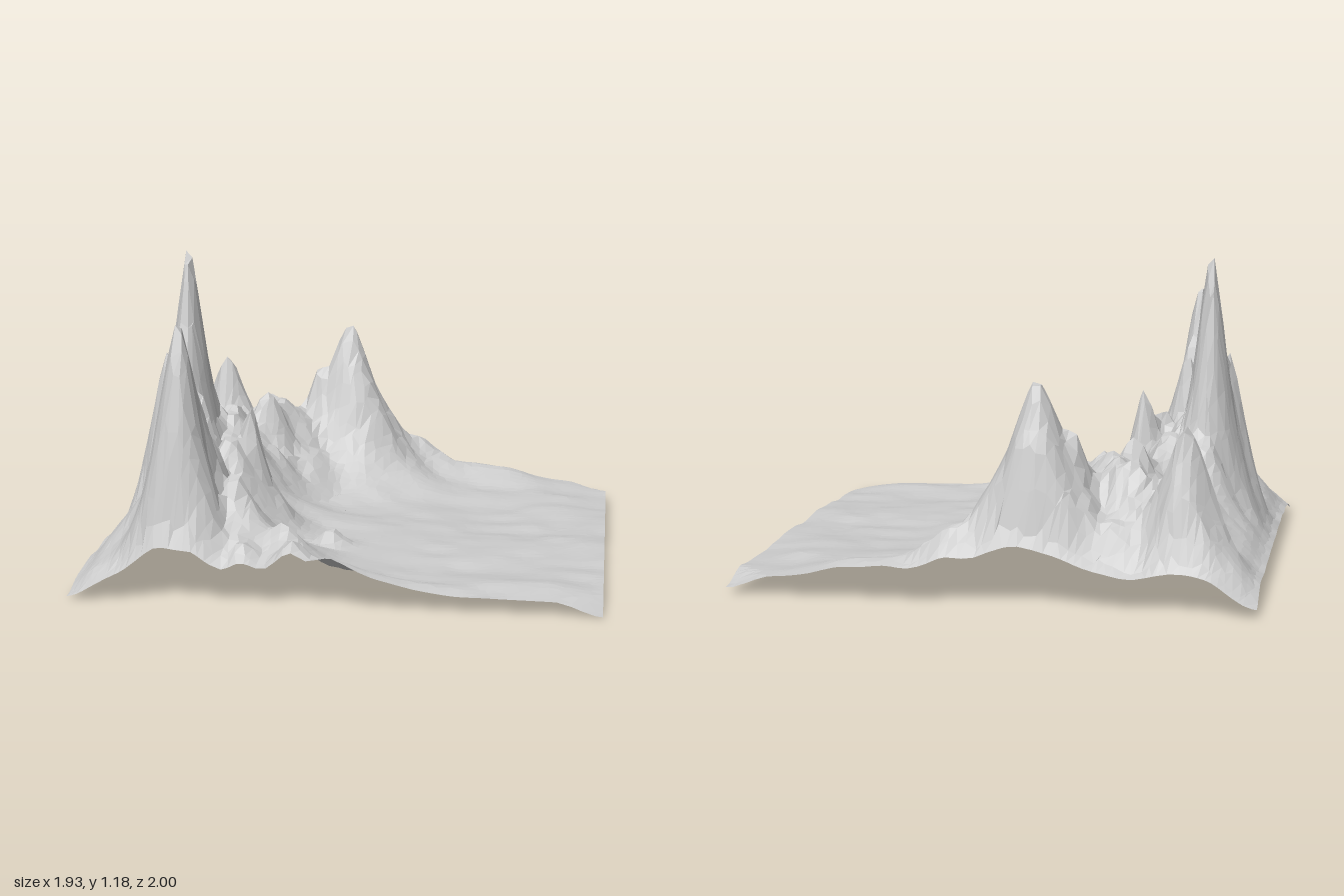
import * as THREE from 'three';

const { lerp, smoothstep, clamp } = THREE.MathUtils;
const HALF = 0.965;
const CELLS = 64;

// Summits and foothills: x, z, height above the base, radius in x, radius in z
const PEAKS = [
  [-0.70, 0.00, 1.13, 0.105, 0.195], // main spire
  [-0.76, 0.15, 0.68, 0.10, 0.12],
  [-0.50, 0.03, 0.36, 0.16, 0.17],
  [-0.58, 0.77, 0.93, 0.125, 0.175], // front summit
  [-0.55, 0.57, 0.70, 0.12, 0.09],
  [-0.55, 0.66, 0.64, 0.12, 0.09],
  [-0.15, -0.77, 0.69, 0.19, 0.17], // back summit
  [0.16, -0.92, 0.20, 0.18, 0.13],
  [0.38, -0.96, 0.12, 0.26, 0.13],
  [-0.28, -0.72, 0.50, 0.12, 0.14],
  [-0.69, -0.78, 0.54, 0.13, 0.14],
  [-0.46, -0.66, 0.38, 0.16, 0.15],
  [-0.58, -0.22, 0.42, 0.16, 0.14],
  [-0.62, 0.32, 0.50, 0.17, 0.14],
  [-0.40, 0.31, 0.56, 0.10, 0.11],
  [-0.46, 0.40, 0.46, 0.12, 0.12],
  [-0.38, 0.70, 0.36, 0.13, 0.15],
  [-0.20, 0.78, 0.17, 0.12, 0.15],
  [-0.07, 0.43, 0.08, 0.05, 0.05],
  [-0.33, 0.93, 0.16, 0.10, 0.12],
  [-0.15, 0.94, 0.22, 0.09, 0.09],
  [0.00, 0.97, 0.18, 0.20, 0.08],
];

const hash = (i, j) => {
  const s = Math.sin(i * 127.1 + j * 311.7) * 43758.5453;
  return s - Math.floor(s);
};

// Smooth value noise in the range -1..1
function noise(x, z) {
  const i = Math.floor(x), j = Math.floor(z);
  const u = smoothstep(x - i, 0, 1);
  const v = smoothstep(z - j, 0, 1);
  const a = lerp(hash(i, j), hash(i + 1, j), u);
  const b = lerp(hash(i, j + 1), hash(i + 1, j + 1), u);
  return 2 * lerp(a, b, v) - 1;
}

// Continuous range joining the summits: straight outer slope, crest, curving inner foot
function massif(x, z) {
  const crest = lerp(-0.55, -0.42, smoothstep(-z, 0.2, 0.6));
  const foot = -0.22 + (z < 0 ? 0.42 * z * z / 0.5 : 0.14 * z);
  const west = clamp((x + 0.99) / (crest + 0.99), 0, 1);
  const east = clamp((foot - x) / (foot - crest), 0, 1);
  const ends = clamp((1.02 - Math.abs(z)) / 0.35, 0, 1);
  return 0.4 * Math.min(west, Math.pow(east, 1.2)) * ends;
}

function heightAt(x, z) {
  // Soft maximum of the range and all summits
  let sum = Math.pow(massif(x, z), 6);
  for (const [px, pz, h, rx, rz] of PEAKS) {
    const d2 = ((x - px) / rx) ** 2 + ((z - pz) / rz) ** 2;
    sum += Math.pow(h * Math.exp(0.094 - Math.pow(d2 + 0.03, 0.675)), 6);
  }
  let m = Math.pow(sum, 1 / 6);
  // Slopes die away at the border
  m *= 1 - 0.5 * smoothstep(Math.abs(z), 0.86, 0.97);
  m *= 1 - 0.5 * smoothstep(-x, 0.88, 0.97);
  // Crags on the inner slopes, downhill folds on the outer ones
  const crag = 0.65 * noise(x * 9 + 40, z * 9) + 0.35 * noise(x * 20, z * 20 + 9);
  const fold = 0.8 * noise(x * 3 + 7, z * 12) + 0.2 * noise(x * 14, z * 24);
  const rough = 0.085 * smoothstep(m, 0.04, 0.3) * (1 - 0.6 * smoothstep(m, 0.5, 0.85));
  // Gentle swells on the plain
  const swell = 0.012 * noise(x * 4 + 3, z * 5) + 0.007 * noise(x * 9, z * 10 + 5);
  const base = 0.075 + 0.035 * Math.exp(-(((x + 0.12) / 0.4) ** 2)) - 0.008 * z;
  // Corners droop
  const corner = 0.05 * smoothstep(Math.abs(x) + Math.abs(z), 1.75, 1.93);
  return base + swell + m + rough * lerp(crag, fold, smoothstep(-x, 0.55, 0.75)) - corner;
}

export function createModel() {
  const group = new THREE.Group();
  group.name = 'landscape';

  const geometry = new THREE.PlaneGeometry(2, 2, CELLS, CELLS);
  geometry.rotateX(-Math.PI / 2);
  const pos = geometry.attributes.position;
  const step = 2 / CELLS;
  let low = Infinity;
  for (let k = 0; k < pos.count; k++) {
    let u = pos.getX(k), v = pos.getZ(k);
    // Irregular grid inside a straight border
    if (Math.abs(u) < 0.999) u += (hash(k, 1) - 0.5) * step * 0.7;
    if (Math.abs(v) < 0.999) v += (hash(k, 2) - 0.5) * step * 0.7;
    // Finer columns on the mountain side
    const t = (u + 1) / 2;
    const x = HALF * (2 * (0.7 * t + 0.3 * t * t) - 1);
    const z = HALF * v;
    const y = heightAt(x, z);
    // Border bulges slightly at the foot of the range
    const bulge = v < 0
      ? -0.035 * Math.exp(-(((x - 0.32) / 0.3) ** 2))
      : 0.035 * Math.exp(-(((x - 0.08) / 0.14) ** 2));
    pos.setXYZ(k, x, y, z + bulge * smoothstep(Math.abs(v), 0.8, 1));
    low = Math.min(low, y);
  }
  geometry.translate(0, -low, 0);
  geometry.computeVertexNormals();

  const terrain = new THREE.Mesh(geometry, new THREE.MeshStandardMaterial({
    color: 0xcccccc, flatShading: true, side: THREE.DoubleSide,
  }));
  terrain.name = 'mountainTerrain';
  group.add(terrain);
  return group;
}
